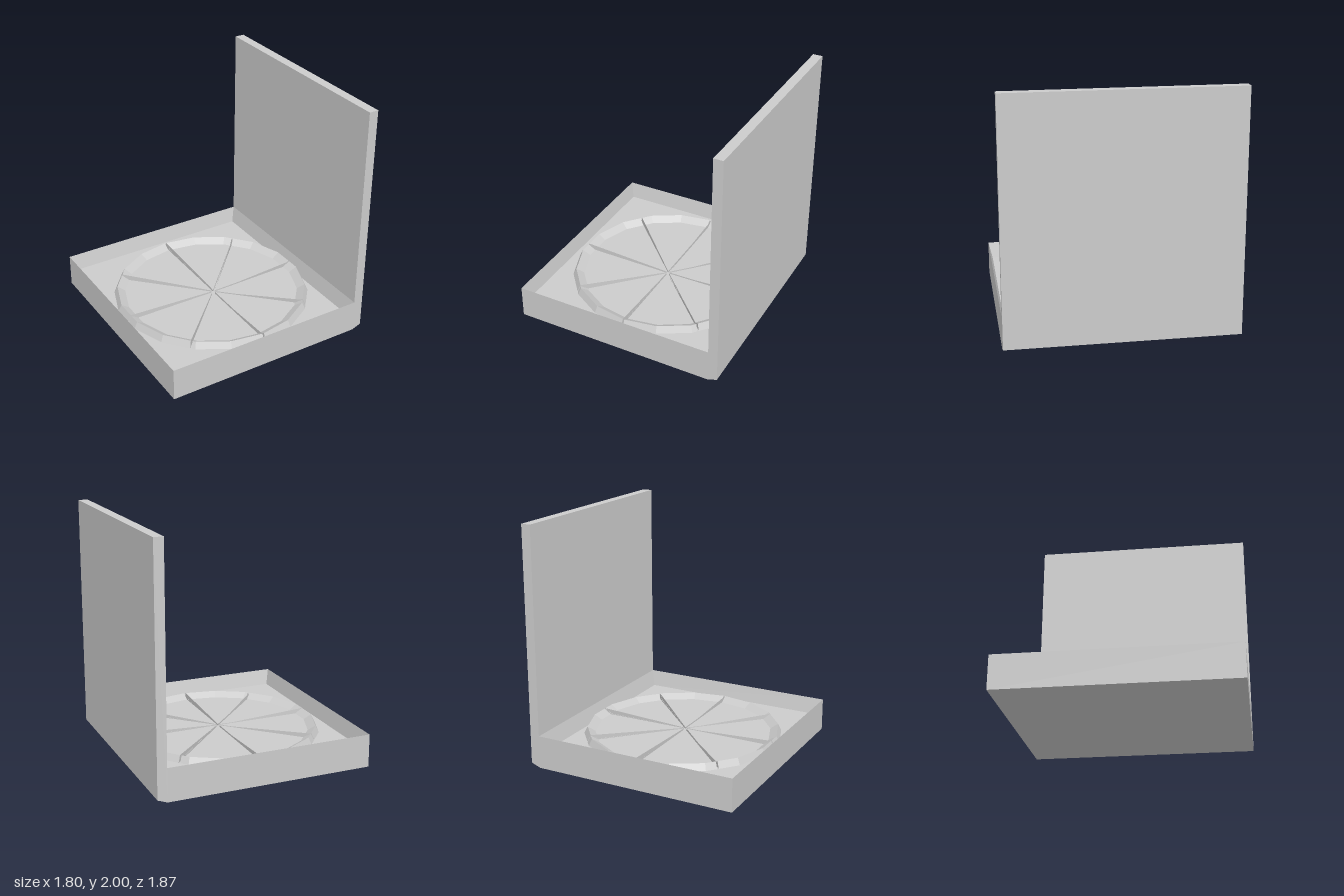
import * as THREE from 'three';

const material = new THREE.MeshStandardMaterial({ color: 0xcccccc, flatShading: true });

// Flat-shaded mesh from polygons, each fanned out from its first corner
function polyMesh(name, polygons) {
  const positions = [];
  for (const p of polygons) {
    for (let i = 1; i < p.length - 1; i++) positions.push(...p[0], ...p[i], ...p[i + 1]);
  }
  const geometry = new THREE.BufferGeometry();
  geometry.setAttribute('position', new THREE.Float32BufferAttribute(positions, 3));
  geometry.computeVertexNormals();
  const mesh = new THREE.Mesh(geometry, material);
  mesh.name = name;
  return mesh;
}

// Quads between two rows of points
function strip(a, b, closed) {
  const quads = [];
  for (let i = 0; i < (closed ? a.length : a.length - 1); i++) {
    const j = (i + 1) % a.length;
    quads.push([a[i], a[j], b[j], b[i]]);
  }
  return quads;
}

const DEPTH = 0.933;
const FLOOR = 0.14;

// Shallow tray with thin rims and sloping inner walls
function makeTray() {
  const rect = (x0, x1, z, y) => [[x0, y, z], [x1, y, z], [x1, y, -z], [x0, y, -z]];
  const base = rect(-0.9, 0.82, DEPTH, 0);
  const rim = rect(-0.9, 0.82, DEPTH, 0.275);
  const floor = rect(-0.87, 0.785, 0.9, FLOOR);
  return polyMesh('tray', [
    ...strip(base, rim, true), ...strip(rim, floor, true), floor, [...base].reverse(),
  ]);
}

// Upright open lid with a bevelled hinge edge
function makeLid() {
  const profile = new THREE.Shape([[0.82, 0], [0.9, 0.03], [0.9, 2], [0.82, 2]]
    .map(([x, y]) => new THREE.Vector2(x, y)));
  const geometry = new THREE.ExtrudeGeometry(profile, { depth: 2 * DEPTH, bevelEnabled: false });
  geometry.translate(0, 0, -DEPTH);
  const lid = new THREE.Mesh(geometry, material);
  lid.name = 'lid';
  return lid;
}

// Point on an 18-sided ring, angle in degrees clockwise from the back
const STEP = 20;
function ringPoint(radius, y, deg) {
  const rad = THREE.MathUtils.degToRad;
  const r = radius * Math.cos(rad(STEP / 2)) / Math.cos(rad(((deg % STEP) + STEP) % STEP - STEP / 2));
  return [r * Math.sin(rad(deg)), y, -r * Math.cos(rad(deg))];
}

// One wedge with a raised crust, between two cut angles
function makeSlice(from, to) {
  const start = from + 0.5, end = to - 0.5;
  const angles = [end];
  for (let a = Math.floor(end / STEP) * STEP; a > start; a -= STEP) {
    if (a < end) angles.push(a);
  }
  angles.push(start);
  const row = (r, y) => angles.map((a) => ringPoint(r, y, a));
  const outer = row(0.835, FLOOR), crest = row(0.807, 0.195), inner = row(0.742, 0.155);

  // Tip pulled back from the meeting point of the cuts
  const mid = THREE.MathUtils.degToRad((from + to) / 2);
  const tip = (y) => [0.018 * Math.sin(mid), y, 0.037 - 0.018 * Math.cos(mid)];
  const top = tip(0.155), bottom = tip(FLOOR);
  const cut = (i) => [inner[i], top, bottom, outer[i], crest[i]];

  return polyMesh('slice', [
    ...strip(outer, crest), ...strip(crest, inner),
    [top, ...inner], [bottom, ...[...outer].reverse()],
    cut(0), cut(angles.length - 1).reverse(),
  ]);
}

export function createModel() {
  const model = new THREE.Group();
  model.name = 'pizzaBox';
  model.add(makeTray(), makeLid());

  // Eight slices around a slightly off-centre meeting point
  const pizza = new THREE.Group();
  pizza.name = 'pizza';
  const cuts = [0, 45.5, 92, 136.5, 180, 222.5, 267.3, 313, 360];
  for (let i = 0; i < 8; i++) pizza.add(makeSlice(cuts[i], cuts[i + 1]));
  model.add(pizza);
  return model;
}
